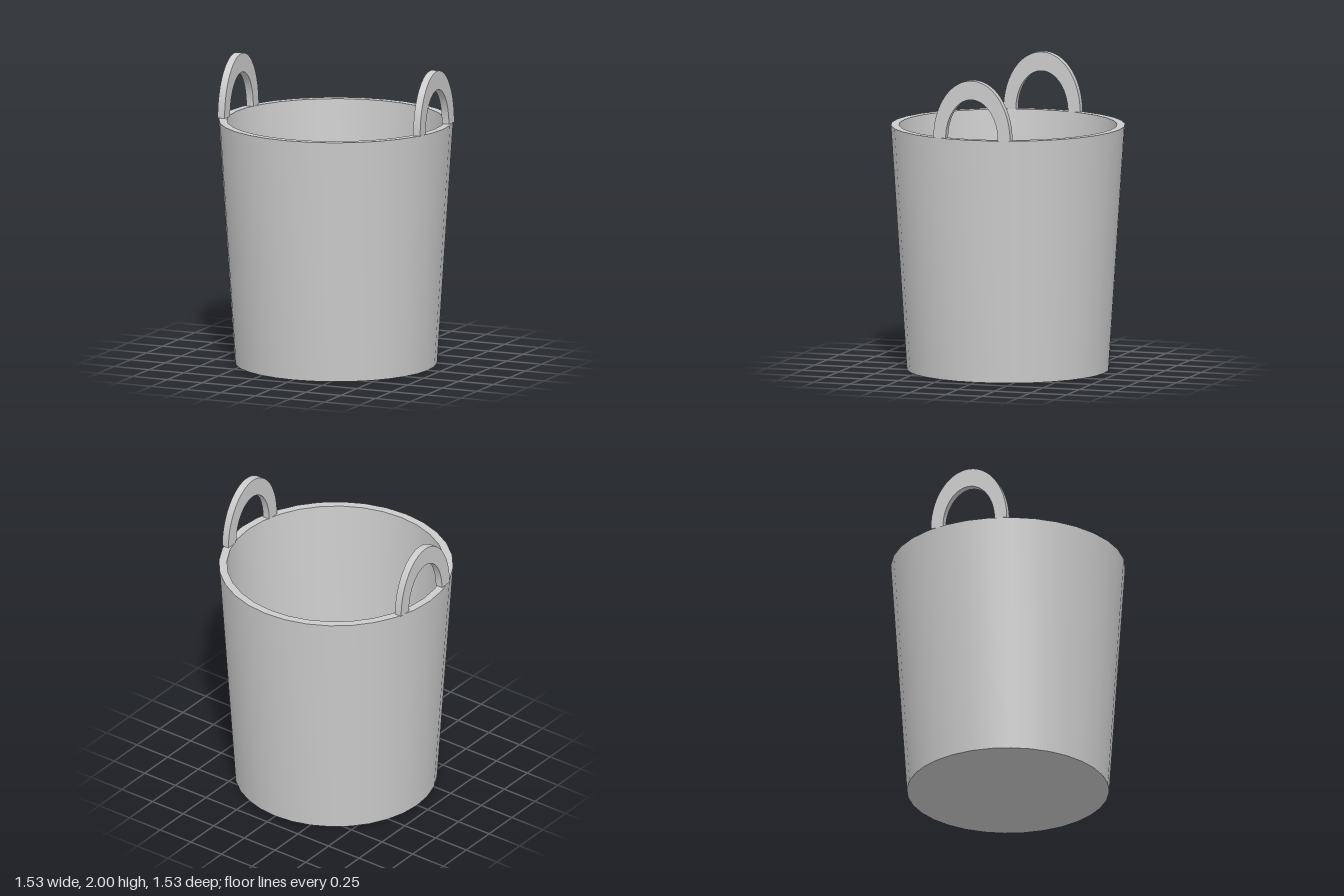
import * as THREE from 'three';
import { toCreasedNormals } from 'three/addons/utils/BufferGeometryUtils.js';

const material = new THREE.MeshStandardMaterial({ color: 0xcccccc });
const RIM = 1.613;

// Tapered bucket with wall thickness and a floor
function makeBucket() {
  const profile = [
    [0, 0], [0.662, 0], [0.767, RIM], [0.714, RIM], [0.612, 0.05], [0, 0.05],
  ].map(([r, y]) => new THREE.Vector2(r, y));
  const mesh = new THREE.Mesh(toCreasedNormals(new THREE.LatheGeometry(profile, 32), 0.6), material);
  mesh.name = 'bucket';
  return mesh;
}

// Half-elliptical hoop standing on the rim
function makeHandle(side) {
  const thickness = 0.05;
  const shape = new THREE.Shape();
  shape.absellipse(0, 0, 0.265, 2 - RIM, 0, Math.PI, false);
  shape.lineTo(-0.18, 0);
  shape.absellipse(0, 0, 0.18, 1.875 - RIM, Math.PI, 0, true);
  shape.closePath();
  const geometry = new THREE.ExtrudeGeometry(shape, { depth: thickness, bevelEnabled: false, curveSegments: 24 });
  geometry.translate(0, 0, -thickness / 2);
  geometry.rotateY(Math.PI / 2);
  const mesh = new THREE.Mesh(toCreasedNormals(geometry, 0.6), material);
  mesh.position.set(side * 0.705, RIM, 0);
  mesh.name = side > 0 ? 'leftHandle' : 'rightHandle';
  return mesh;
}

export function createModel() {
  const group = new THREE.Group();
  group.name = 'bucketWithHandles';
  group.add(makeBucket(), makeHandle(1), makeHandle(-1));
  return group;
}
